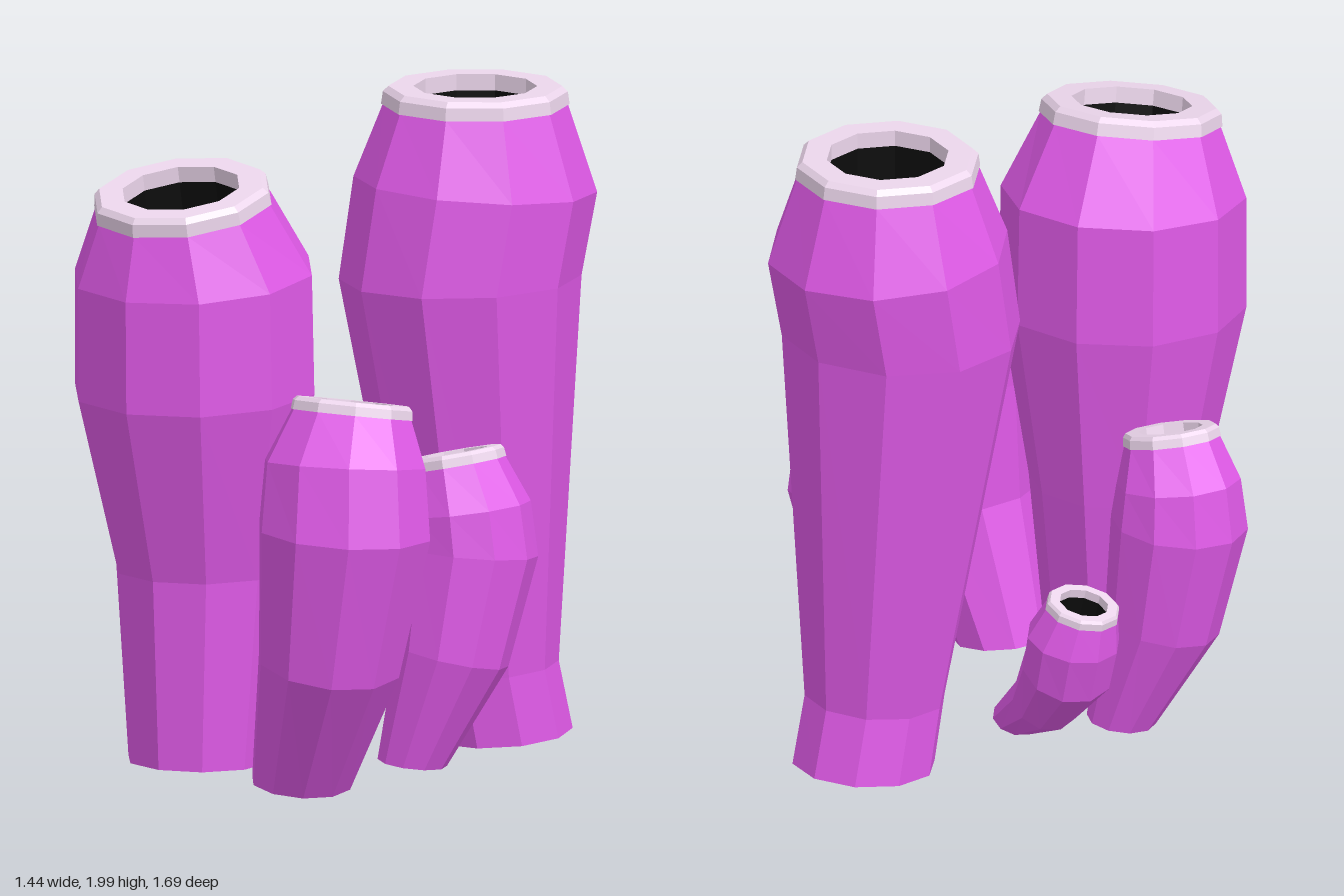
import * as THREE from 'three';

const SIDES = 10;
const UP = new THREE.Vector3(0, 1, 0);
const skin = new THREE.MeshStandardMaterial({ color: 0xe05ae8, flatShading: true });
const lip = new THREE.MeshStandardMaterial({ color: 0xecd6ec, flatShading: true });
const dark = new THREE.MeshStandardMaterial({ color: 0x0c0c0c, flatShading: true });

// One polygon ring of given centre, radius and axis
function ring(center, radius, axis, phase) {
  const q = new THREE.Quaternion().setFromUnitVectors(UP, axis);
  return Array.from({ length: SIDES }, (_, i) => {
    const a = phase + (i / SIDES) * Math.PI * 2;
    return new THREE.Vector3(Math.cos(a) * radius, 0, Math.sin(a) * radius).applyQuaternion(q).add(center);
  });
}

// Faceted surface through a list of rings; zero-radius rings close the ends
function loft(name, rings, material) {
  const pos = [];
  const tri = (a, b, c) => {
    if (a.distanceTo(b) < 1e-6 || b.distanceTo(c) < 1e-6 || a.distanceTo(c) < 1e-6) return;
    for (const p of [a, b, c]) pos.push(p.x, p.y, p.z);
  };
  for (let k = 0; k < rings.length - 1; k++) {
    const lo = rings[k], hi = rings[k + 1];
    for (let i = 0; i < SIDES; i++) {
      const j = (i + 1) % SIDES;
      tri(lo[i], hi[i], hi[j]);
      tri(lo[i], hi[j], lo[j]);
    }
  }
  const geo = new THREE.BufferGeometry();
  geo.setAttribute('position', new THREE.Float32BufferAttribute(pos, 3));
  geo.computeVertexNormals();
  const mesh = new THREE.Mesh(geo, material);
  mesh.name = name;
  return mesh;
}

// A tube follows stations [x, y, z, radius] from its base to the underside of its lip
function spongeTube({ name, phase, rim, path }) {
  const group = new THREE.Group();
  group.name = name;
  const ph = THREE.MathUtils.degToRad(phase);
  const centers = path.map(([x, y, z]) => new THREE.Vector3(x, y, z));
  const last = path.length - 1;
  const axes = centers.map((c, i) => {
    const t = centers[Math.min(i + 1, last)].clone().sub(centers[Math.max(i - 1, 0)]).normalize();
    const lean = i === 0 ? 0.3 : 0.75;
    return t.multiply(new THREE.Vector3(lean, 1, lean)).normalize();
  });

  // Body with a closed base
  const body = path.map((s, i) => ring(centers[i], s[3], axes[i], ph));
  body.unshift(ring(centers[0], 0, axes[0], ph));
  group.add(loft('body', body, skin));

  // Lip: bevelled collar turning into the opening, and the dark cavity below it
  const r = path[last][3];
  const at = ([h, k]) => ring(centers[last].clone().addScaledVector(axes[last], h * rim), r * k, axes[last], ph);
  group.add(loft('lip', [[0, 0.98], [0, 1.02], [0.7, 1], [1, 0.94], [1, 0.67], [0.1, 0.67]].map(at), lip));
  group.add(loft('cavity', [[0.1, 0.67], [-2.5, 0.67], [-2.5, 0]].map(at), dark));
  return group;
}

const TUBES = [
  { name: 'tallBackTube', phase: 3, rim: 0.055, path: [
    [0.27, 0.02, -0.535, 0.218], [0.25, 0.23, -0.495, 0.215], [0.185, 1.42, -0.445, 0.365],
    [0.21, 1.7, -0.49, 0.367], [0.21, 1.945, -0.49, 0.278]] },
  { name: 'tallFrontTube', phase: 18, rim: 0.055, path: [
    [-0.16, 0.055, 0.455, 0.22], [-0.165, 0.64, 0.43, 0.268], [-0.165, 1.19, 0.47, 0.373],
    [-0.165, 1.55, 0.478, 0.37], [-0.165, 1.765, 0.535, 0.272]] },
  { name: 'frontSideTube', phase: 18, rim: 0.04, path: [
    [0.225, 0.03, 0.48, 0.153], [0.385, 0.43, 0.57, 0.22], [0.445, 0.84, 0.575, 0.267],
    [0.43, 1.04, 0.55, 0.25], [0.427, 1.185, 0.51, 0.187]] },
  { name: 'rightSmallTube', phase: 0, rim: 0.038, path: [
    [0.39, 0.05, 0.125, 0.105], [0.495, 0.38, 0.065, 0.172], [0.52, 0.69, 0, 0.202],
    [0.505, 0.82, 0, 0.193], [0.465, 0.95, -0.005, 0.148]] },
  { name: 'leftSmallTube', phase: 18, rim: 0.038, path: [
    [-0.35, 0.045, 0, 0.105], [-0.47, 0.37, 0.03, 0.175], [-0.52, 0.7, 0.045, 0.207],
    [-0.515, 0.83, 0.05, 0.188], [-0.482, 0.945, 0.08, 0.146]] },
  { name: 'backSmallTube', phase: 0, rim: 0.03, path: [
    [-0.06, 0.05, -0.12, 0.075], [-0.21, 0.19, -0.26, 0.105], [-0.32, 0.35, -0.36, 0.14],
    [-0.345, 0.46, -0.375, 0.143], [-0.375, 0.555, -0.38, 0.113]] },
];

export function createModel() {
  const model = new THREE.Group();
  model.name = 'tubeSpongeCluster';
  for (const tube of TUBES) model.add(spongeTube(tube));
  return model;
}
